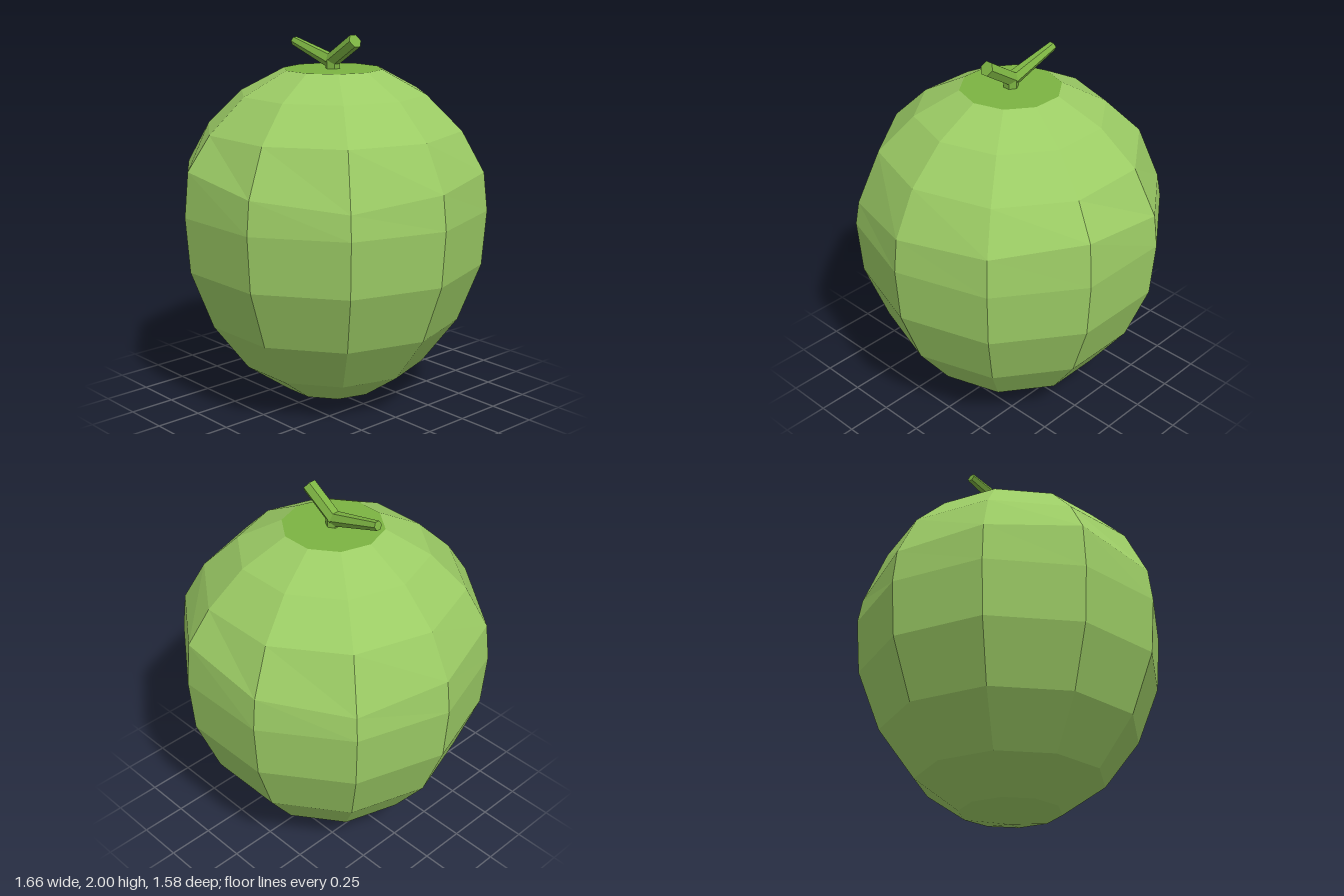
import * as THREE from 'three';

const SIDES = 10;
const mat = (color) => new THREE.MeshStandardMaterial({ color, flatShading: true });

export function createModel() {
  const group = new THREE.Group();
  const skin = mat(0x9ccc65);
  const stalk = mat(0x7cb342);

  const add = (name, geometry, material, parent = group) => {
    const mesh = new THREE.Mesh(geometry, material);
    mesh.name = name;
    parent.add(mesh);
    return mesh;
  };

  // Faceted fruit, turned from a pointed base up to the flat crown
  const profile = [
    [0, 0], [0.27, 0.06], [0.5, 0.22], [0.69, 0.475], [0.81, 0.79],
    [0.832, 1.085], [0.81, 1.265], [0.69, 1.505], [0.5, 1.69], [0.265, 1.815],
  ].map(([r, y]) => new THREE.Vector2(r, y));
  const body = new THREE.LatheGeometry(profile, SIDES, Math.PI / 2);

  // Uneven shoulder ring: heights repeat every half turn
  const shoulder = [1.265, 1.29, 1.325, 1.26, 1.213];
  const shoulderRow = 6;
  for (let i = 0; i <= SIDES; i++) {
    body.attributes.position.setY(i * profile.length + shoulderRow, shoulder[i % 5]);
  }
  add('fruitBody', body, skin);

  // Flat crown at the top
  const crown = new THREE.CircleGeometry(0.265, SIDES);
  crown.rotateX(-Math.PI / 2);
  add('crown', crown, stalk).position.y = 1.815;

  // Forked six-sided stem
  const stem = new THREE.Group();
  stem.name = 'stem';
  group.add(stem);
  const up = new THREE.Vector3(0, 1, 0);
  const branch = (name, from, to, r0, r1) => {
    const a = new THREE.Vector3(...from);
    const dir = new THREE.Vector3(...to).sub(a);
    const length = dir.length();
    const geometry = new THREE.CylinderGeometry(r1, r0, length, 6);
    geometry.translate(0, length / 2, 0);
    const mesh = add(name, geometry, stalk, stem);
    mesh.position.copy(a);
    mesh.quaternion.setFromUnitVectors(up, dir.normalize());
  };
  branch('stemBase', [0, 1.81, 0], [0, 1.86, 0], 0.04, 0.04);
  branch('longBranch', [0, 1.85, 0], [-0.31, 1.938, 0], 0.04, 0.025);
  branch('shortBranch', [-0.015, 1.85, 0], [0.172, 1.97, 0], 0.04, 0.04);

  return group;
}
